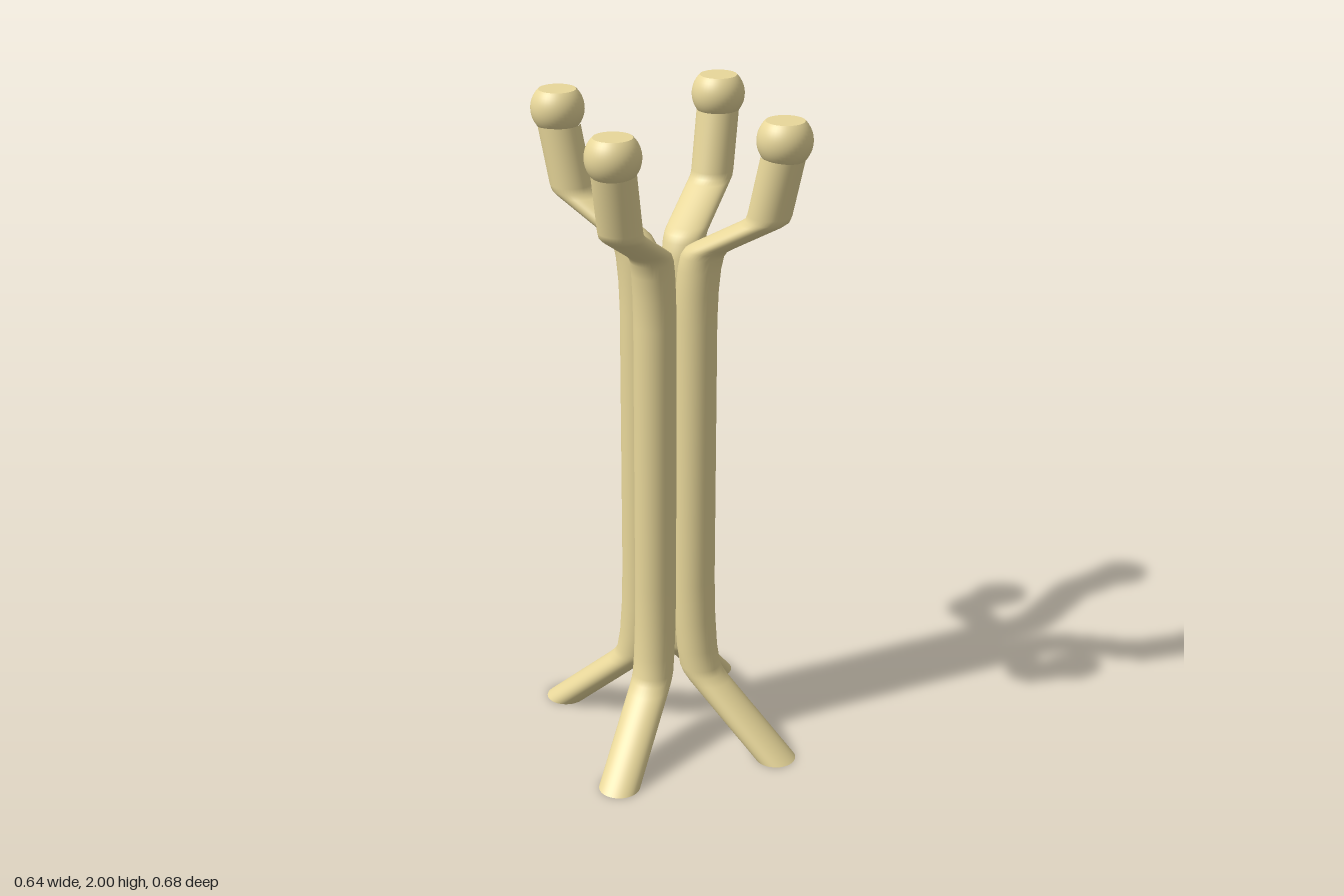
import * as THREE from 'three';

const R = 0.0615;      // pole radius, measured in horizontal sections
const SIDES = 40;
const BALL = { x: 0.242, y: 1.945, z: 0.257, r: 0.077 };

// Centre line of one bent pole, from foot to tip
const PATH = [
  [0.25, 0.005, 0.277], [0.098, 0.215, 0.103], [0.083, 0.24, 0.086], [0.076, 0.26, 0.078],
  [0.069, 0.32, 0.069], [0.064, 0.42, 0.064], [0.0615, 0.55, 0.0615],
  [0.0615, 1.38, 0.0615], [0.064, 1.47, 0.064], [0.069, 1.54, 0.069],
  [0.075, 1.58, 0.076], [0.084, 1.6, 0.086], [0.1, 1.615, 0.103],
  [0.198, 1.7, 0.21], [0.21, 1.713, 0.222], [0.215, 1.73, 0.227], [0.24, 1.9, 0.254],
];

// Horizontal circles swept along the path, so slanted runs look flattened
function poleGeometry(sx, sz) {
  const pos = [], index = [];
  PATH.forEach(([x, y, z], i) => {
    for (let j = 0; j < SIDES; j++) {
      const a = (j / SIDES) * Math.PI * 2;
      pos.push(sx * x + R * Math.cos(a), y, sz * z + R * Math.sin(a));
      if (i === PATH.length - 1) continue;
      const p = i * SIDES + j, q = i * SIDES + ((j + 1) % SIDES);
      index.push(p, p + SIDES, q, q, p + SIDES, q + SIDES);
    }
  });
  const g = new THREE.BufferGeometry();
  g.setAttribute('position', new THREE.Float32BufferAttribute(pos, 3));
  g.setIndex(index);
  g.computeVertexNormals();
  return g;
}

export function createModel() {
  const model = new THREE.Group();
  model.name = 'coatStand';
  const wood = new THREE.MeshStandardMaterial({ color: 0xe8d79a });

  function add(parent, name, geometry, x = 0, y = 0, z = 0) {
    const mesh = new THREE.Mesh(geometry, wood);
    mesh.name = name;
    mesh.position.set(x, y, z);
    parent.add(mesh);
    return mesh;
  }

  // Knob: a sphere cut flat at the top
  const cut = Math.acos((2 - BALL.y) / BALL.r);
  const knob = new THREE.SphereGeometry(BALL.r, 40, 20, 0, Math.PI * 2, cut, Math.PI - cut);
  const knobTop = new THREE.CircleGeometry(BALL.r * Math.sin(cut), 40).rotateX(-Math.PI / 2);
  const sole = new THREE.CircleGeometry(R, SIDES).rotateX(Math.PI / 2);

  for (const [side, sx] of [['Left', 1], ['Right', -1]]) {
    for (const [end, sz] of [['front', 1], ['back', -1]]) {
      const branch = new THREE.Group();
      branch.name = `${end}${side}Branch`;
      add(branch, 'bentPole', poleGeometry(sx, sz));
      add(branch, 'footSole', sole, sx * PATH[0][0], PATH[0][1], sz * PATH[0][2]);
      add(branch, 'knob', knob, sx * BALL.x, BALL.y, sz * BALL.z);
      add(branch, 'knobTop', knobTop, sx * BALL.x, 2, sz * BALL.z);
      model.add(branch);
    }
  }
  // Rest the soles on the ground
  model.children.forEach((b) => b.children.forEach((m) => {
    if (m.name === 'footSole') m.position.y = 0.005;
  }));
  return model;
}
